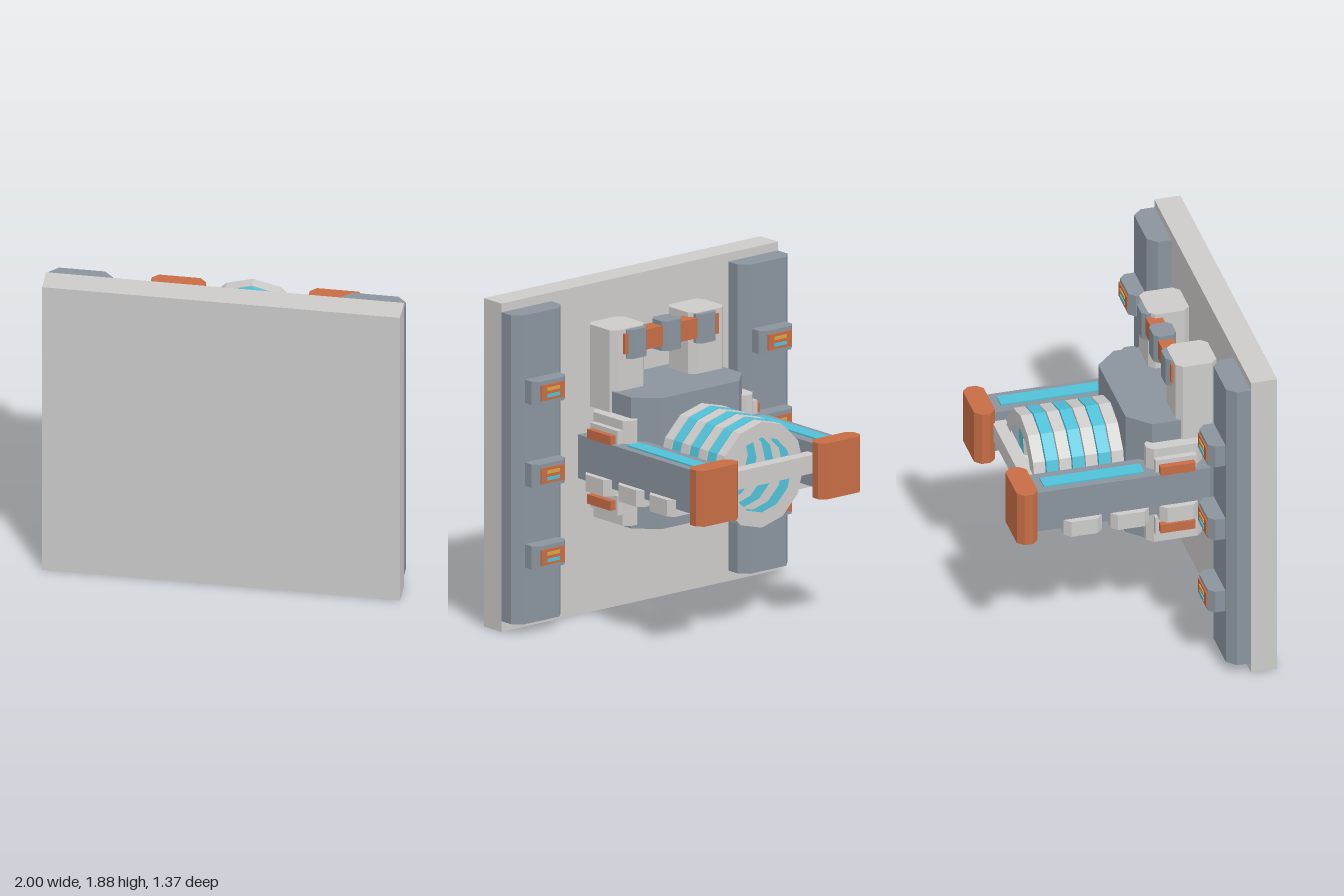
import * as THREE from 'three';

const mat = (name, color) => {
  const m = new THREE.MeshStandardMaterial({ color });
  m.name = name;
  return m;
};

export function createModel() {
  const light = mat('light grey', 0xcccbca);
  const slate = mat('slate grey', 0x8a949e);
  const orange = mat('burnt orange', 0xc76d45);
  const teal = mat('teal', 0x4fc1d8);
  const yellow = mat('amber', 0xd9a441);
  const model = new THREE.Group();
  model.name = 'wallMountedMachine';

  const add = (name, geo, material) => {
    const mesh = new THREE.Mesh(geo, material);
    mesh.name = name;
    model.add(mesh);
    return mesh;
  };

  // Plain box from its limits
  const box = (name, m, [x0, x1], [y0, y1], [z0, z1]) =>
    add(name, new THREE.BoxGeometry(x1 - x0, y1 - y0, z1 - z0)
      .translate((x0 + x1) / 2, (y0 + y1) / 2, (z0 + z1) / 2), m);

  // Upright prism with cut corners: c at the -z side, d at the +z side
  const prism = (name, m, [x0, x1], [y0, y1], [z0, z1], c, d = c) => {
    const pts = [[x0 + d, z1], [x1 - d, z1]];
    if (d) pts.push([x1, z1 - d]);
    pts.push([x1, z0 + c], [x1 - c, z0], [x0 + c, z0], [x0, z0 + c]);
    if (d) pts.push([x0, z1 - d]);
    const shape = new THREE.Shape(pts.map(([x, z]) => new THREE.Vector2(x, -z)));
    const geo = new THREE.ExtrudeGeometry(shape, { depth: y1 - y0, bevelEnabled: false });
    return add(name, geo.rotateX(-Math.PI / 2).translate(0, y0, 0), m);
  };

  // Limits mirrored to either side
  const side = (s, a, b) => (s > 0 ? [a, b] : [-b, -a]);

  // Wall plate and central housing
  box('wallPlate', light, [-1, 1], [0, 1.88], [0.535, 0.685]);
  prism('housing', slate, [-0.4, 0.4], [0.57, 1.32], [0.015, 0.536], 0.12);

  for (const s of [1, -1]) {
    // Rail with three indicator units
    prism('rail', slate, side(s, 0.64, 0.998), [0.06, 1.83], [0.405, 0.536], 0.05, 0);
    for (const y of [0.452, 0.92, 1.395]) {
      prism('indicatorBody', slate, side(s, 0.7, 0.94), [y - 0.067, y + 0.067], [0.312, 0.41], 0.035, 0);
      box('indicatorPlate', orange, side(s, 0.735, 0.905), [y - 0.045, y + 0.045], [0.304, 0.313]);
      box('indicatorAmberStrip', yellow, side(s, 0.775, 0.865), [y + 0.01, y + 0.028], [0.298, 0.305]);
      box('indicatorTealStrip', teal, side(s, 0.775, 0.865), [y - 0.028, y - 0.01], [0.298, 0.305]);
    }

    // Arm with light strip, end cap and clamps
    box('arm', slate, side(s, 0.34, 0.535), [0.82, 1.07], [-0.575, 0.43]);
    box('armStrip', teal, side(s, 0.4, 0.49), [1.069, 1.079], [-0.51, 0.065]);
    prism('armCap', orange, side(s, 0.29, 0.593), [0.78, 1.1], [-0.685, -0.565], 0.035);
    for (const z of [-0.3, -0.032, 0.25])
      prism('armClamp', light, side(s, 0.31, 0.57), [0.775, 0.87], [z - 0.11, z + 0.11], 0.035);

    // Side block with two framed panels
    prism('sideBlock', light, side(s, 0.36, 0.47), [0.6, 1.2], [0.09, 0.41], 0.035);
    for (const y of [0.72, 1.093]) {
      box('panelFrame', light, side(s, 0.46, 0.505), [y - 0.055, y + 0.055], [0.125, 0.36]);
      box('panel', orange, side(s, 0.5, 0.54), [y - 0.027, y + 0.027], [0.145, 0.345]);
    }

    // Tower and its pipe clamp
    prism('tower', light, side(s, 0.16, 0.41), [1.2, 1.67], [0.275, 0.51], 0.035);
    prism('pipeClamp', slate, side(s, 0.18, 0.32), [1.5, 1.666], [0.24, 0.37], 0.025);
  }

  // Pipe between the towers
  box('pipe', orange, [-0.34, 0.34], [1.53, 1.645], [0.26, 0.35]);
  prism('middlePipeClamp', slate, [-0.07, 0.07], [1.5, 1.67], [0.24, 0.37], 0.025);

  // Bar joining the arm ends
  box('crossbar', light, [-0.345, 0.345], [0.91, 1.015], [-0.578, -0.5]);

  // Coil of seven alternating twelve-sided rings
  const ringPoints = (r) => Array.from({ length: 12 }, (_, i) =>
    new THREE.Vector2(r * Math.sin(i * Math.PI / 6), r * Math.cos(i * Math.PI / 6)));
  const ring = new THREE.Shape(ringPoints(0.303));
  ring.holes.push(new THREE.Path(ringPoints(0.215)));
  const ringGeo = new THREE.ExtrudeGeometry(ring, { depth: 0.068, bevelEnabled: false });
  for (let i = 0; i < 7; i++)
    add('coilRing', ringGeo, i % 2 ? teal : light).position.set(0, 0.942, -0.061 - i * 0.0748);

  return model;
}
